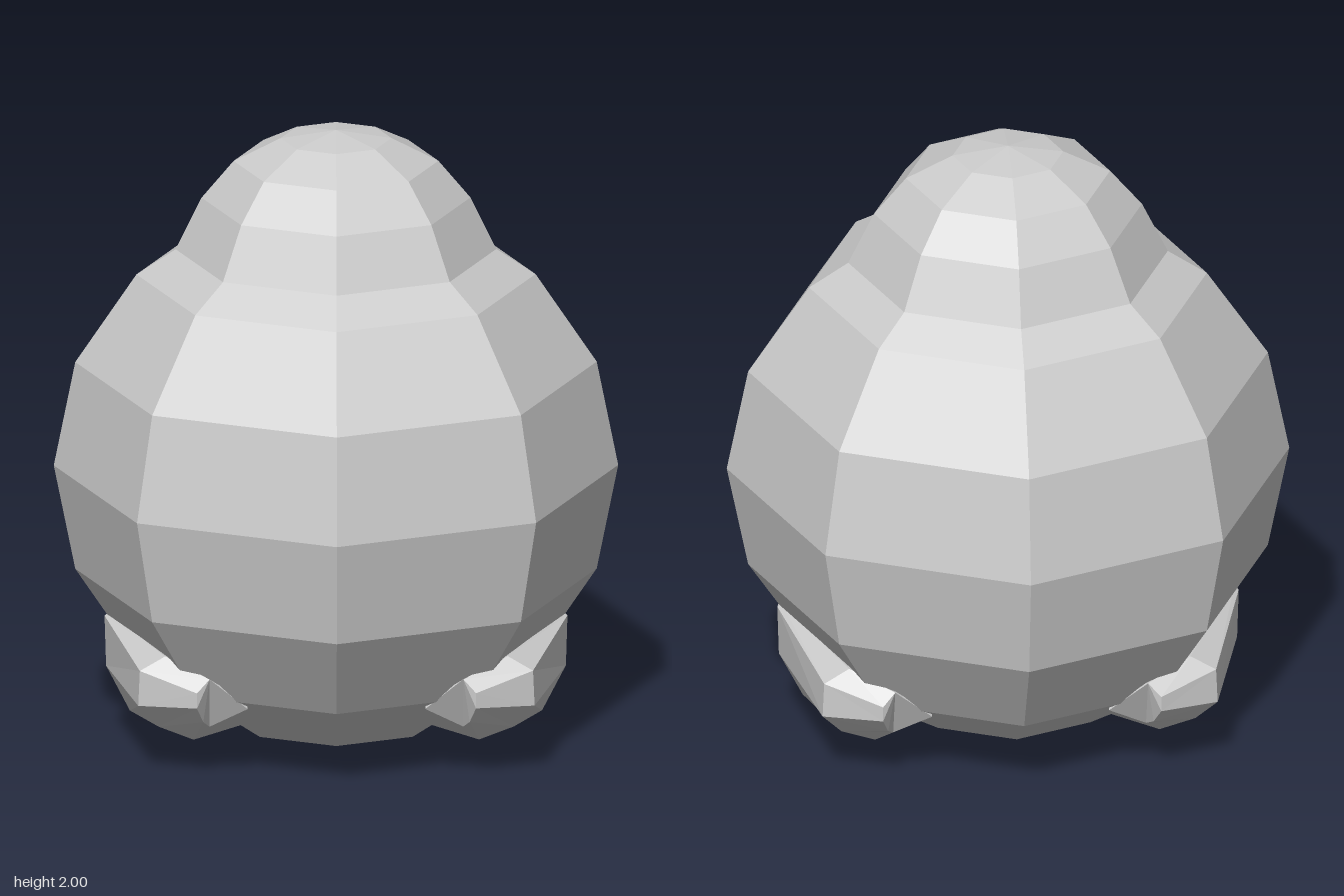
import * as THREE from 'three';

const material = new THREE.MeshStandardMaterial({ color: 0xcccccc, flatShading: true });

// Cross-sections of the left foot, running top, outside, underside, inside
const middle = [[0.715, 0.41, 0], [0.73, 0.4, 0], [0.725, 0.235, 0], [0.65, 0.087, 0],
  [0.49, 0.05, 0], [0.25, 0.1, 0], [0.3, 0.35, 0]];
const shoulder = [[0.54, 0.405, 0.46], [0.62, 0.36, 0.47], [0.625, 0.245, 0.47], [0.56, 0.155, 0.4],
  [0.45, 0.1, 0.36], [0.3, 0.13, 0.3], [0.3, 0.3, 0.3]];
const tip = [[0.4, 0.35, 0.53], [0.44, 0.31, 0.55], [0.44, 0.26, 0.55], [0.42, 0.2, 0.5],
  [0.4, 0.17, 0.45], [0.28, 0.24, 0.49], [0.28, 0.26, 0.48]];

// Skins the foot sections from back to front; side is +1 (left) or -1 (right)
function footGeometry(side) {
  const back = ring => ring.map(([x, y, z]) => [x, y, -z]);
  const rings = [back(tip), back(shoulder), middle, shoulder, tip];
  const n = middle.length;
  const positions = rings.flat().flatMap(([x, y, z]) => [side * x, y, z]);
  const index = [];
  const face = (a, b, c) => index.push(...(side > 0 ? [a, b, c] : [a, c, b]));
  for (let r = 0; r < rings.length - 1; r++) {
    for (let i = 0; i < n; i++) {
      const a = r * n + i, b = r * n + (i + 1) % n;
      face(a, a + n, b);
      face(b, a + n, b + n);
    }
  }
  // End caps
  const last = (rings.length - 1) * n;
  for (let i = 1; i < n - 1; i++) {
    face(0, i, i + 1);
    face(last, last + i + 1, last + i);
  }
  const geometry = new THREE.BufferGeometry();
  geometry.setAttribute('position', new THREE.Float32BufferAttribute(positions, 3));
  geometry.setIndex(index);
  geometry.computeVertexNormals();
  return geometry;
}

export function createModel() {
  const model = new THREE.Group();
  const add = (name, geometry) => {
    const mesh = new THREE.Mesh(geometry, material);
    mesh.name = name;
    model.add(mesh);
    return mesh;
  };

  // Round eight-sided body
  add('body', new THREE.SphereGeometry(0.89, 8, 8)).position.y = 0.895;

  // Domed head sunk into the body
  const dome = [[0.54, 1.5], [0.508, 1.602], [0.424, 1.777], [0.323, 1.898], [0.175, 1.973], [0, 2]];
  add('head', new THREE.LatheGeometry(dome.map(p => new THREE.Vector2(...p)), 8));

  // Long feet along both sides
  add('leftFoot', footGeometry(1));
  add('rightFoot', footGeometry(-1));

  return model;
}
